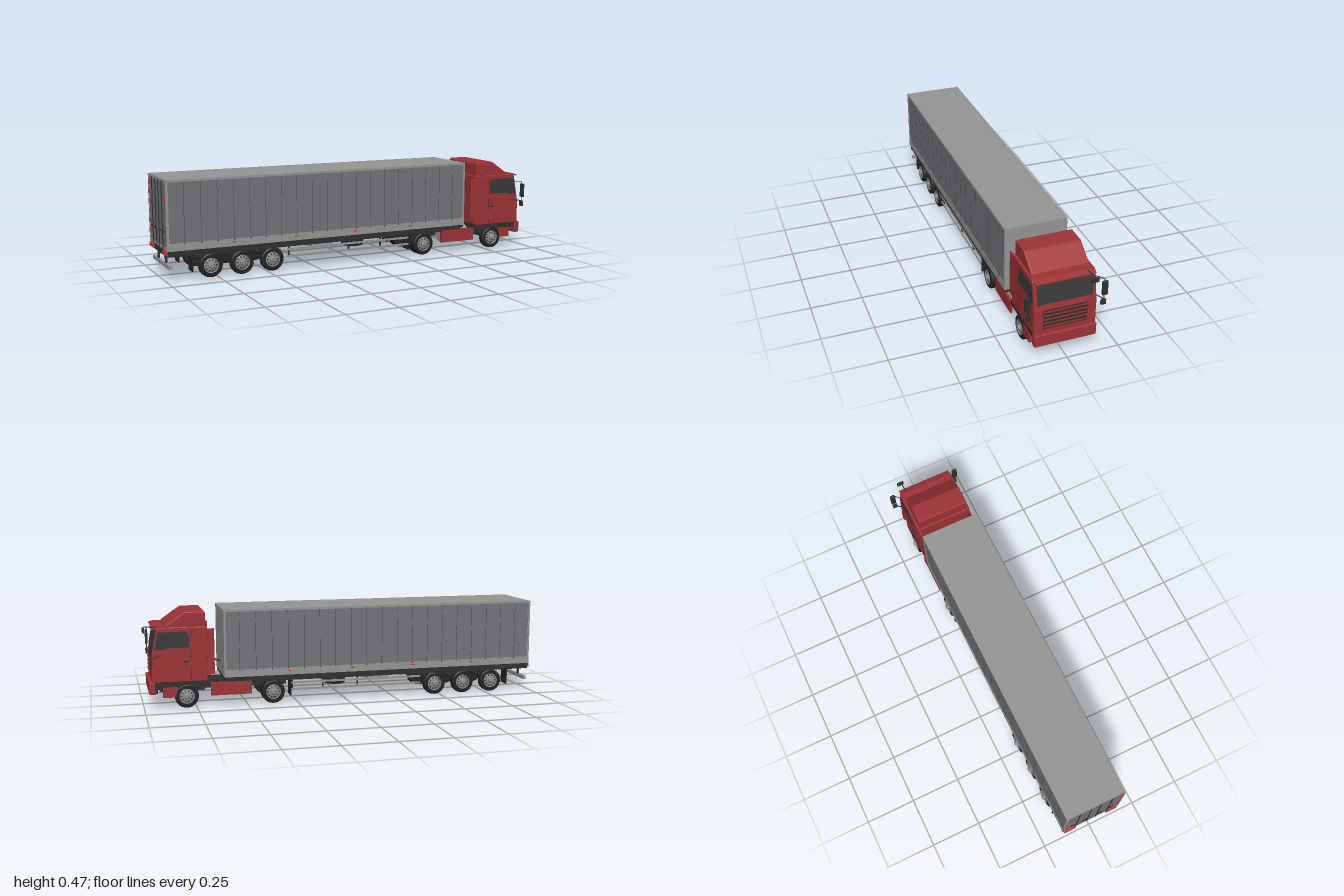
import * as THREE from 'three';
import { toCreasedNormals } from 'three/addons/utils/BufferGeometryUtils.js';
import { RoundedBoxGeometry } from 'three/addons/geometries/RoundedBoxGeometry.js';

const mat = (name, color) => Object.assign(new THREE.MeshStandardMaterial({ color }), { name });
const M = {
  red: mat('cab red', 0x9e3336),
  grey: mat('trailer grey', 0x969694),
  panel: mat('curtain grey', 0x74757a),
  strap: mat('strap grey', 0x4c4d50),
  dark: mat('chassis dark', 0x2f302f),
  glass: mat('dark glass', 0x383938),
  tyre: mat('tyre black', 0x232423),
  rim: mat('rim grey', 0x8a8b8a),
  lamp: mat('lamp red', 0xc23a3a),
};

export function createModel() {
  const root = new THREE.Group();
  root.name = 'articulatedTruck';
  const add = (name, geo, m, x = 0, y = 0, z = 0, parent = root) => {
    const mesh = new THREE.Mesh(geo, m);
    mesh.name = name;
    mesh.position.set(x, y, z);
    parent.add(mesh);
    return mesh;
  };
  // Box given by its limits on each axis
  const box = (name, m, x0, x1, y0, y1, z0, z1, parent = root) =>
    add(name, new THREE.BoxGeometry(x1 - x0, y1 - y0, Math.abs(z1 - z0)), m,
      (x0 + x1) / 2, (y0 + y1) / 2, (z0 + z1) / 2, parent);
  // The same box on both sides of the truck
  const pair = (name, m, x0, x1, y0, y1, z0, z1) => {
    for (const s of [1, -1]) box(name, m, x0, x1, y0, y1, s * z0, s * z1);
  };
  const rod = (name, m, a, b, r) => {
    const p = new THREE.Vector3(...a), q = new THREE.Vector3(...b);
    const c = add(name, new THREE.CylinderGeometry(r, r, p.distanceTo(q), 8), m);
    c.position.copy(p).lerp(q, 0.5);
    c.quaternion.setFromUnitVectors(new THREE.Vector3(0, 1, 0), q.sub(p).normalize());
    return c;
  };
  // Side profile in x and y, extruded evenly across z
  const profile = (name, m, pts, width, z = 0, bevel = 0) => {
    const geo = new THREE.ExtrudeGeometry(new THREE.Shape(pts.map(p => new THREE.Vector2(...p))), {
      depth: width - 2 * bevel, bevelEnabled: bevel > 0, bevelSize: bevel, bevelOffset: -bevel,
      bevelThickness: bevel, bevelSegments: 2 });
    geo.translate(0, 0, -width / 2 + bevel);
    return add(name, geo, m, 0, 0, z);
  };

  // Trailer body: grey shell, curtain sides and frame
  box('trailerBody', M.grey, -0.99, 0.615, 0.142, 0.473, -0.149, 0.149);
  pair('sideCurtain', M.panel, -0.982, 0.605, 0.178, 0.464, 0.149, 0.151);
  pair('topRail', M.grey, -0.995, 0.615, 0.463, 0.474, 0.146, 0.153);
  pair('lowerRail', M.grey, -0.995, 0.615, 0.142, 0.178, 0.146, 0.153);
  for (const x of [-0.995, 0.605]) pair('cornerPost', M.grey, x, x + 0.01, 0.142, 0.474, 0.146, 0.153);
  for (let i = 0; i < 19; i++) {
    const x = -0.91 + i * 0.0805;
    pair('curtainStrap', M.strap, x - 0.001, x + 0.001, 0.178, 0.463, 0.151, 0.1518);
    pair('strapBuckle', M.strap, x - 0.003, x + 0.003, 0.172, 0.178, 0.153, 0.1545);
  }
  for (const x of [-0.67, -0.35, -0.03, 0.29])
    pair('sideLamp', M.lamp, x - 0.008, x + 0.008, 0.16, 0.166, 0.153, 0.155);

  // Rear doors with locking bars and lamps
  pair('rearDoor', M.panel, -0.993, -0.989, 0.16, 0.46, 0.003, 0.136);
  for (const z of [0.025, 0.085]) {
    for (const s of [1, -1]) rod('lockingBar', M.dark, [-0.995, 0.15, s * z], [-0.995, 0.465, s * z], 0.0025);
    pair('lockHandle', M.dark, -0.998, -0.993, 0.225, 0.232, z - 0.002, z + 0.03);
  }
  for (let i = 0; i < 6; i++) pair('rearMarker', M.lamp, -0.997, -0.99, 0.19 + i * 0.047, 0.212 + i * 0.047, 0.14, 0.147);
  pair('tailLamp', M.lamp, -1.0, -0.98, 0.122, 0.14, 0.085, 0.145);
  box('rearCrossbeam', M.dark, -0.99, -0.965, 0.115, 0.142, -0.148, 0.148);
  box('rearBumper', M.grey, -0.985, -0.97, 0.055, 0.073, -0.145, 0.145);
  pair('bumperHanger', M.dark, -0.982, -0.972, 0.055, 0.125, 0.06, 0.07);

  // Trailer chassis
  box('trailerFloor', M.dark, -0.985, 0.613, 0.128, 0.143, -0.148, 0.148);
  pair('trailerBeam', M.dark, -0.98, 0.55, 0.1, 0.13, 0.04, 0.06);
  pair('trailerSill', M.dark, -0.96, 0.6, 0.113, 0.13, 0.135, 0.145);
  for (let i = 0; i < 12; i++) {
    const x = -0.92 + i * 0.125;
    box('crossMember', M.dark, x, x + 0.012, 0.112, 0.13, -0.14, 0.14);
  }
  pair('trailerMudflap', M.tyre, -0.876, -0.87, 0.035, 0.125, 0.085, 0.147);
  pair('driveMudflap', M.tyre, 0.282, 0.287, 0.035, 0.12, 0.085, 0.147);

  // Side guards, storage box and spare wheel
  pair('guardRail', M.grey, -0.395, 0.285, 0.06, 0.07, 0.138, 0.143);
  pair('guardRail', M.grey, -0.395, 0.285, 0.094, 0.104, 0.138, 0.143);
  for (const x of [-0.385, -0.06, 0.12, 0.275]) pair('guardPost', M.dark, x - 0.003, x + 0.003, 0.06, 0.13, 0.13, 0.138);
  box('storageBox', M.grey, -0.24, -0.13, 0.082, 0.128, -0.09, 0.09);

  // Wheels
  const lathe = (pts, n = 32) => toCreasedNormals(
    new THREE.LatheGeometry(pts.map(p => new THREE.Vector2(...p)), n), 0.6);
  const tyreGeo = lathe([[0, -0.014], [0.034, -0.014], [0.036, -0.018], [0.052, -0.018], [0.057, -0.014], [0.058, -0.008],
    [0.058, 0.008], [0.057, 0.014], [0.052, 0.018], [0.037, 0.018], [0.036, 0.01], [0, 0.01]]);
  const rimGeo = lathe([[0.034, 0.01], [0.0375, 0.0175], [0.0355, 0.0195], [0.033, 0.013], [0.021, 0.016], [0, 0.016]]);
  const hubGeo = lathe([[0.014, 0.014], [0.014, 0.024], [0.01, 0.029], [0, 0.029]], 16);
  const holeGeo = new THREE.CylinderGeometry(0.0038, 0.0038, 0.003, 10);
  const wheel = (x, z, s) => {
    const g = new THREE.Group();
    g.name = 'wheel';
    add('tyre', tyreGeo, M.tyre, 0, 0, 0, g);
    add('rim', rimGeo, M.rim, 0, 0, 0, g);
    add('hub', hubGeo, M.rim, 0, 0, 0, g);
    for (let i = 0; i < 10; i++) {
      const a = i * Math.PI / 5;
      add('rimHole', holeGeo, M.dark, 0.027 * Math.cos(a), 0.0142, 0.027 * Math.sin(a), g);
    }
    g.position.set(x, 0.058, s * z);
    g.rotation.x = s * Math.PI / 2;
    root.add(g);
  };
  for (const x of [-0.783, -0.628, -0.473, 0.372, 0.797]) {
    for (const s of [1, -1]) {
      wheel(x, 0.129, s);
      if (x === 0.372) add('innerTyre', tyreGeo, M.tyre, x, 0.058, s * 0.099).rotation.x = s * Math.PI / 2;
    }
    rod('axle', M.dark, [x, 0.058, -0.12], [x, 0.058, 0.12], 0.012);
    pair('suspension', M.dark, x - 0.03, x + 0.03, 0.065, 0.105, 0.045, 0.062);
  }
  add('spareTyre', tyreGeo, M.tyre, 0.027, 0.08, 0);

  // Tractor chassis, fifth wheel, tank and side skirts
  pair('tractorBeam', M.dark, 0.29, 0.955, 0.075, 0.112, 0.03, 0.048);
  box('cabFloor', M.dark, 0.68, 0.945, 0.105, 0.135, -0.144, 0.144);
  box('engine', M.dark, 0.7, 0.92, 0.065, 0.11, -0.045, 0.045);
  box('frontCrossbeam', M.dark, 0.93, 0.955, 0.06, 0.1, -0.07, 0.07);
  add('couplingPlate', new THREE.CylinderGeometry(0.065, 0.065, 0.02, 24), M.dark, 0.4, 0.118, 0);
  box('tractorDeck', M.dark, 0.46, 0.69, 0.108, 0.118, -0.06, 0.06);
  pair('sideSkirt', M.red, 0.48, 0.68, 0.055, 0.12, 0.135, 0.147);
  const tank = rod('airTank', M.grey, [0.5, 0.092, 0.09], [0.655, 0.092, 0.09], 0.041);
  tank.geometry = new THREE.CylinderGeometry(0.041, 0.041, 0.155, 24);
  box('batteryBox', M.dark, 0.5, 0.645, 0.06, 0.125, -0.132, -0.08);
  for (const z of [-0.02, 0, 0.02]) rod('airHose', M.dark, [0.615, 0.2, z], [0.7, 0.23, z * 1.4], 0.002);

  // Cab shell, roof deflector and side fairings
  profile('cabShell', M.red, [[0.695, 0.13], [0.962, 0.13], [0.962, 0.25], [0.935, 0.39], [0.926, 0.397], [0.7, 0.397], [0.695, 0.39]], 0.296, 0, 0.004);
  profile('roofDeflector', M.red, [[0.7, 0.394], [0.895, 0.394], [0.892, 0.404], [0.805, 0.464], [0.797, 0.468], [0.706, 0.468], [0.7, 0.46]], 0.272, 0, 0.005);
  pair('sideFairing', M.red, 0.66, 0.698, 0.16, 0.385, 0.139, 0.145);
  profile('sunVisor', M.red, [[0.925, 0.389], [0.955, 0.386], [0.955, 0.391], [0.928, 0.4]], 0.284);
  add('frontBumper', new RoundedBoxGeometry(0.03, 0.06, 0.296, 2, 0.004), M.red, 0.961, 0.103, 0);
  pair('bumperEnd', M.red, 0.84, 0.91, 0.055, 0.106, 0.105, 0.147);

  // Glass, door seams, handles and grille
  const tilt = Math.atan2(0.027, 0.14);
  add('windscreen', new THREE.BoxGeometry(0.006, 0.107, 0.26), M.glass, 0.9457, 0.3355, 0).rotation.z = tilt;
  for (const s of [1, -1]) {
    profile('sideWindow', M.glass, [[0.78, 0.297], [0.885, 0.297], [0.9, 0.29], [0.946, 0.29], [0.93, 0.375], [0.795, 0.375], [0.784, 0.362]], 0.004, s * 0.148);
    rod('mirrorArm', M.dark, [0.925, 0.357, s * 0.146], [0.965, 0.357, s * 0.18], 0.002);
    rod('mirrorArm', M.dark, [0.925, 0.262, s * 0.146], [0.965, 0.25, s * 0.182], 0.0025);
    rod('mirrorPost', M.dark, [0.965, 0.357, s * 0.18], [0.965, 0.24, s * 0.18], 0.002);
    add('mainMirror', new RoundedBoxGeometry(0.012, 0.072, 0.027, 2, 0.003), M.dark, 0.966, 0.309, s * 0.182);
    add('wideMirror', new RoundedBoxGeometry(0.012, 0.028, 0.025, 2, 0.003), M.dark, 0.966, 0.237, s * 0.178);
  }
  pair('doorSeam', M.dark, 0.774, 0.7755, 0.14, 0.385, 0.1475, 0.1486);
  pair('doorHandle', M.dark, 0.785, 0.808, 0.225, 0.232, 0.147, 0.151);
  box('grille', M.dark, 0.958, 0.965, 0.157, 0.253, -0.104, 0.104);
  for (let i = 0; i < 5; i++) box('grilleBar', M.red, 0.96, 0.968, 0.164 + i * 0.0196, 0.17 + i * 0.0196, -0.104, 0.104);

  // Kerb mirror above the windscreen
  rod('kerbMirrorArm', M.dark, [0.925, 0.397, -0.11], [0.992, 0.398, -0.115], 0.0025);
  add('kerbMirror', new RoundedBoxGeometry(0.01, 0.025, 0.036, 2, 0.003), M.dark, 0.995, 0.384, -0.118);
  return root;
}
